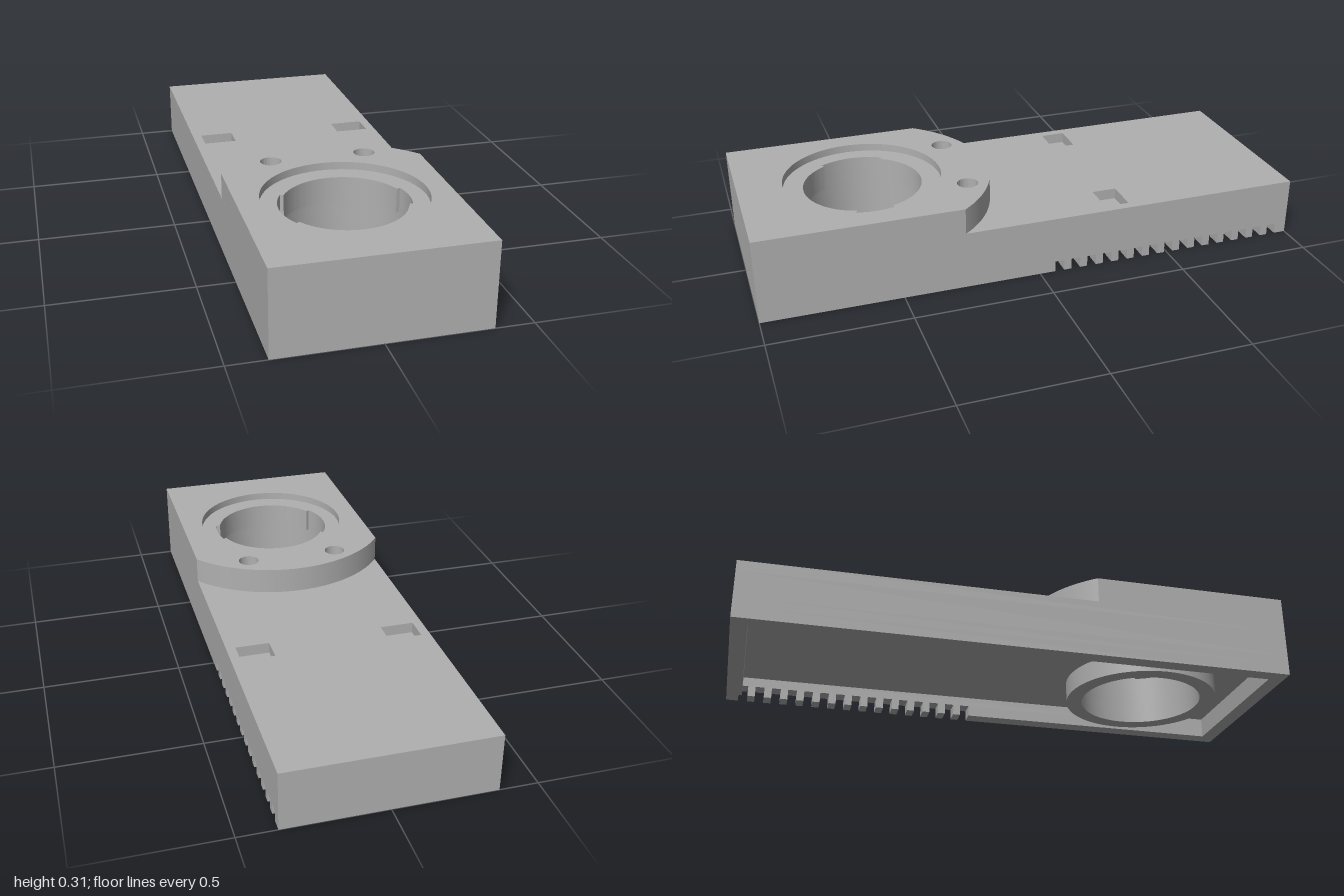
import * as THREE from 'three';
import { toCreasedNormals } from 'three/addons/utils/BufferGeometryUtils.js';

const W = 0.365, L = 1, WALL = 0.057;       // half width, half length, wall thickness
const FLOOR = 0.075, DECK = 0.213, TOP = 0.308;
const BORE_Z = 0.555, BORE_R = 0.226, LIP_R = 0.213, LIP_TOP = 0.28;

export function createModel() {
  const model = new THREE.Group();
  const grey = new THREE.MeshStandardMaterial({ color: 0xb0b0b0 });
  grey.name = 'plain grey';

  // Shapes are drawn in plan as (x, -z) and extruded upwards from y0 to y1
  function slab(name, shape, holes, y0, y1) {
    shape.holes.push(...holes);
    let geo = new THREE.ExtrudeGeometry(shape, { depth: y1 - y0, bevelEnabled: false, curveSegments: 48 });
    geo.rotateX(-Math.PI / 2).translate(0, y0, 0);
    geo = toCreasedNormals(geo, 0.5);
    const mesh = new THREE.Mesh(geo, grey);
    mesh.name = name;
    model.add(mesh);
  }
  const poly = (pts) => new THREE.Shape(pts.map(([x, z]) => new THREE.Vector2(x, -z)));
  const rect = (x0, x1, z0, z1) => poly([[x0, z1], [x1, z1], [x1, z0], [x0, z0]]);
  const circle = (x, z, r) => new THREE.Shape().absarc(x, -z, r, 0, Math.PI * 2, false);
  const outline = () => rect(-W, W, -L, L);
  const bore = () => circle(0, BORE_Z, BORE_R);

  // Lower skirt: open on part of the +x side, where the comb of slots sits
  const ix = W - WALL, iz = L - WALL;
  const slotW = 0.034, pitch = 0.0617, slotH = 0.04, slots = 15, first = -0.058;
  const last = first - (slots - 1) * pitch - slotW;
  slab('lowerSkirt', poly([
    [W, first], [ix, first], [ix, iz], [-ix, iz], [-ix, -iz], [ix, -iz],
    [ix, last], [W, last], [W, -L], [-W, -L], [-W, L], [W, L],
  ]), [], 0, slotH);
  for (let i = 0; i < slots - 1; i++) {
    const z = first - i * pitch - slotW;
    slab('combTooth', rect(ix, W, z - (pitch - slotW), z), [], 0, slotH);
  }
  slab('upperSkirt', outline(), [rect(-ix, ix, -iz, iz)], slotH, FLOOR);

  // Ring boss hanging inside the hollow underside
  slab('ringBoss', circle(0, BORE_Z, 0.285), [bore()], 0, FLOOR);

  // Base plate, then the deck layer with two blind rectangular pockets
  const pocketFloor = DECK - 0.04;
  slab('basePlate', outline(), [bore()], FLOOR, pocketFloor);
  const pockets = [-1, 1].map((s) => rect(s * 0.27 - 0.061, s * 0.27 + 0.061, -0.35, -0.26));
  slab('deck', outline(), [bore(), ...pockets], pocketFloor, DECK);

  // Raised pad with a rounded back edge, two pin holes and a counterbore
  const a = Math.atan2(0.28, W);
  function pad() {
    const s = new THREE.Shape();
    s.moveTo(-W, -L);
    s.lineTo(W, -L);
    s.lineTo(W, 0.28 - BORE_Z);
    s.absarc(0, -BORE_Z, 0.46, a, Math.PI - a, false);
    s.closePath();
    return s;
  }
  const pins = () => [-1, 1].map((s) => circle(s * 0.173, 0.21, 0.038));
  slab('padBase', pad(), [bore()], DECK, 0.258);
  slab('padMiddle', pad(), [bore(), ...pins()], 0.258, LIP_TOP);
  slab('padTop', pad(), [circle(0, BORE_Z, 0.285), ...pins()], LIP_TOP, TOP);

  // Inner lip: two arcs separated by a wide notch at -x and a narrow one at +x
  const wide = 0.53, narrow = 0.3;
  for (const [from, to] of [[narrow, Math.PI - wide], [Math.PI + wide, Math.PI * 2 - narrow]]) {
    const s = new THREE.Shape();
    s.absarc(0, -BORE_Z, BORE_R + 0.002, from, to, false);
    s.absarc(0, -BORE_Z, LIP_R, to, from, true);
    s.closePath();
    slab('boreLip', s, [], 0.19, LIP_TOP);
  }
  return model;
}
